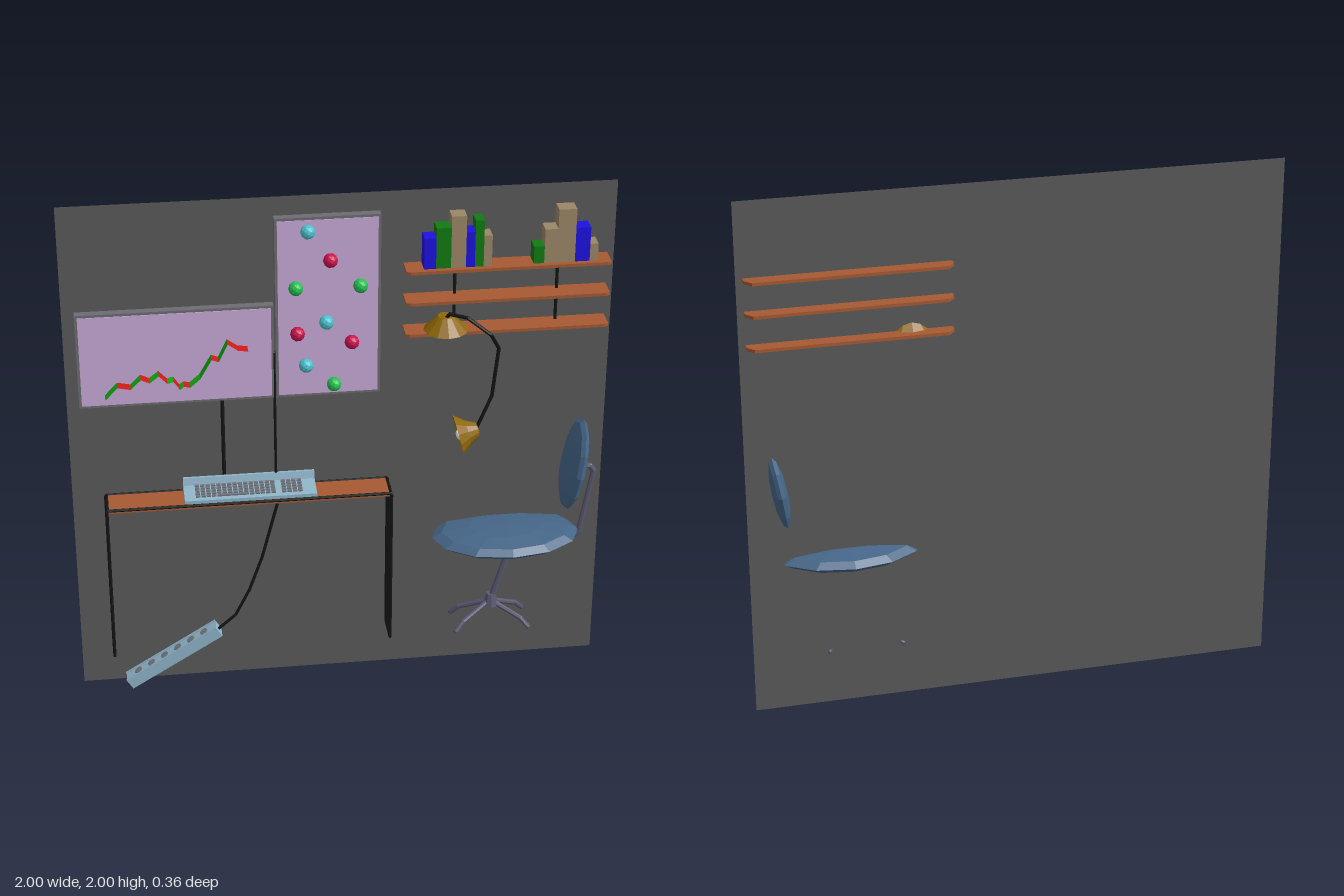
import * as THREE from 'three';
import { mergeGeometries } from 'three/addons/utils/BufferGeometryUtils.js';

const mat = (color, side = THREE.FrontSide) =>
  new THREE.MeshStandardMaterial({ color, side, flatShading: true });
const M = {
  wall: mat(0x5a5a5a, THREE.DoubleSide), frame: mat(0x6c6c72), lilac: mat(0xc8a8d8),
  wood: mat(0xa65a32), black: mat(0x141414), plastic: mat(0x8fb4c8), keys: mat(0x70767e),
  gold: mat(0x8f6808, THREE.DoubleSide), bulb: mat(0xf2f2e6), fabric: mat(0x456587),
  steel: mat(0x5a5870), tan: mat(0x9b8766), blue: mat(0x1c12e0), green: mat(0x117a11),
  pinCyan: mat(0x4cc0cc), pinRed: mat(0xc8104c), pinGreen: mat(0x22c050),
  rise: mat(0x10b010, THREE.DoubleSide), fall: mat(0xd01818, THREE.DoubleSide),
};

export function createModel() {
  const model = new THREE.Group();
  const add = (name, geo, material, parent = model) => {
    const mesh = new THREE.Mesh(geo, material);
    mesh.name = name;
    parent.add(mesh);
    return mesh;
  };
  const group = (name) => {
    const g = new THREE.Group();
    g.name = name;
    model.add(g);
    return g;
  };
  // box given by its limits on each axis
  const boxGeo = (x0, x1, y0, y1, z0, z1) =>
    new THREE.BoxGeometry(x1 - x0, y1 - y0, z1 - z0)
      .translate((x0 + x1) / 2, (y0 + y1) / 2, (z0 + z1) / 2);
  // round bar through straight segments
  const bar = (name, pts, r, material, parent, closed = false) => {
    const v = pts.map((p) => new THREE.Vector3(...p));
    if (closed) v.push(v[0].clone());
    const parts = [];
    for (let i = 0; i < v.length - 1; i++) {
      const path = new THREE.LineCurve3(v[i], v[i + 1]);
      parts.push(new THREE.TubeGeometry(path, 1, r, 8));
    }
    for (const p of v) parts.push(new THREE.SphereGeometry(r, 8, 6).translate(p.x, p.y, p.z));
    return add(name, mergeGeometries(parts), material, parent);
  };

  // back wall
  add('wall', new THREE.PlaneGeometry(2, 2).translate(0, 1, -0.075), M.wall);

  // desk: top, rim and three-bar end frames
  const desk = group('desk');
  add('deskTop', boxGeo(-0.875, 0.175, 0.825, 0.842, -0.055, 0.055), M.wood, desk);
  bar('deskRim', [[-0.875, 0.84, -0.058], [0.175, 0.84, -0.058], [0.175, 0.84, 0.058],
    [-0.875, 0.84, 0.058]], 0.006, M.black, desk, true);
  for (const x of [-0.878, 0.178]) {
    bar('legFrame', [[x, 0.835, -0.058], [x, 0.2, -0.058], [x, 0.2, 0.058], [x, 0.835, 0.058]],
      0.006, M.black, desk);
    bar('middleLeg', [[x, 0.835, 0], [x, 0.2, 0]], 0.006, M.black, desk);
  }

  // keyboard: wedge with a raised back lip
  const keyboard = group('keyboard');
  const side = new THREE.Shape([[-0.055, 0.843], [-0.055, 0.858], [0.035, 0.872], [0.042, 0.9],
    [0.052, 0.9], [0.052, 0.843]].map((p) => new THREE.Vector2(...p)));
  add('keyboardBody', new THREE.ExtrudeGeometry(side, { depth: 0.49, bevelEnabled: false })
    .rotateY(Math.PI / 2).translate(-0.59, 0, 0), M.plastic, keyboard);
  const keys = [];
  for (let row = 0; row < 5; row++) {
    const z = -0.028 + row * 0.015;
    const y = 0.868 - (z + 0.01) * 0.155;
    for (let i = 0; i < 20; i++) {
      const x = -0.54 + i * 0.02;
      const space = row === 4 && i > 3 && i < 10;
      if (i === 15 || (space && i > 4)) continue;
      keys.push(boxGeo(x - 0.008, x + (space ? 0.108 : 0.008), y - 0.006, y + 0.005,
        z - 0.0055, z + 0.0055));
    }
  }
  add('keys', mergeGeometries(keys), M.keys, keyboard);

  // wall boards with lilac faces
  const boards = group('boards');
  for (const [x0, x1, y0, y1] of [[-0.955, -0.243, 1.218, 1.592], [-0.237, 0.145, 1.218, 1.928]]) {
    add('boardFrame', boxGeo(x0, x1, y0, y1, -0.073, -0.043), M.frame, boards);
    add('boardFace', boxGeo(x0 + 0.01, x1 - 0.01, y0 + 0.01, y1 - 0.01, -0.05, -0.04),
      M.lilac, boards);
  }
  bar('boardPost', [[-0.435, 1.23, -0.06], [-0.435, 0.85, -0.06]], 0.007, M.black, boards);
  bar('thinPost', [[-0.243, 1.4, -0.047], [-0.243, 0.85, -0.047]], 0.005, M.black, boards);

  // pins
  const pins = group('pins');
  for (const [x, y, m] of [[-0.12, 1.885, M.pinCyan], [-0.04, 1.77, M.pinRed],
    [-0.165, 1.667, M.pinGreen], [0.068, 1.665, M.pinGreen], [-0.055, 1.527, M.pinCyan],
    [-0.16, 1.486, M.pinRed], [0.037, 1.442, M.pinRed], [-0.13, 1.357, M.pinCyan],
    [-0.028, 1.274, M.pinGreen]])
    add('pin', new THREE.IcosahedronGeometry(0.027, 1).translate(x, y, -0.015), m, pins);

  // chart ribbon, green where it rises and red where it falls
  const chart = group('chart');
  const line = [[-0.86, 1.27], [-0.815, 1.318], [-0.767, 1.308], [-0.73, 1.345], [-0.698, 1.33],
    [-0.665, 1.356], [-0.634, 1.324], [-0.612, 1.33], [-0.59, 1.297], [-0.575, 1.308],
    [-0.553, 1.303], [-0.516, 1.335], [-0.473, 1.41], [-0.447, 1.4], [-0.414, 1.469],
    [-0.377, 1.442], [-0.34, 1.436]];
  for (let i = 0; i < line.length - 1; i++) {
    const [[x0, y0], [x1, y1]] = [line[i], line[i + 1]];
    const strip = new THREE.PlaneGeometry(Math.hypot(x1 - x0, y1 - y0), 0.047)
      .rotateX(-Math.PI / 2).rotateZ(Math.atan2(y1 - y0, x1 - x0))
      .translate((x0 + x1) / 2, (y0 + y1) / 2, -0.02);
    add('chartStrip', strip, y1 > y0 ? M.rise : M.fall, chart);
  }

  // shelves with clipped corners, and their posts
  const shelves = group('shelves');
  const plank = new THREE.Shape([[0.23, -0.005], [0.245, -0.012], [0.96, -0.012], [0.975, -0.005],
    [0.975, 0.1], [0.95, 0.13], [0.255, 0.13], [0.23, 0.1]].map((p) => new THREE.Vector2(...p)));
  for (const y of [1.707, 1.584, 1.459])
    add('shelf', new THREE.ExtrudeGeometry(plank, { depth: 0.012, bevelEnabled: false })
      .rotateX(-Math.PI / 2).translate(0, y, 0), M.wood, shelves);
  for (const x of [0.415, 0.79])
    bar('shelfPost', [[x, 1.71, -0.055], [x, 1.465, -0.055]], 0.006, M.black, shelves);

  // books
  const books = group('books');
  for (const [x0, x1, top, m] of [[0.295, 0.338, 1.838, M.blue], [0.338, 0.392, 1.876, M.green],
    [0.392, 0.446, 1.918, M.tan], [0.446, 0.478, 1.855, M.blue], [0.478, 0.51, 1.898, M.green],
    [0.51, 0.54, 1.838, M.tan], [0.692, 0.73, 1.785, M.green], [0.73, 0.777, 1.85, M.tan],
    [0.777, 0.842, 1.924, M.tan], [0.842, 0.896, 1.85, M.blue], [0.896, 0.926, 1.785, M.tan]])
    add('book', boxGeo(x0, x1, 1.719, top, -0.067, -0.008), m, books);

  // lamp: conical foot, bent arm, open shade with bulb
  const lamp = group('lamp');
  add('lampFoot', new THREE.CylinderGeometry(0.03, 0.082, 0.055, 12).translate(0.38, 1.498, -0.02),
    M.gold, lamp);
  bar('lampArm', [[0.38, 1.52, -0.01], [0.39, 1.54, 0], [0.45, 1.54, 0.04], [0.53, 1.485, 0.075],
    [0.575, 1.39, 0], [0.555, 1.195, 0], [0.5, 1.06, 0]], 0.007, M.black, lamp);
  const head = new THREE.Group();
  head.name = 'lampHead';
  head.position.set(0.47, 1.048, 0);
  head.rotation.z = -Math.PI / 2 + 0.25;
  lamp.add(head);
  const shade = [[0, 0.042], [0.026, 0.038], [0.045, 0], [0.076, -0.038]];
  add('lampShade', new THREE.LatheGeometry(shade.map((p) => new THREE.Vector2(...p)).reverse(), 12),
    M.gold, head);
  add('bulb', new THREE.SphereGeometry(0.025, 10, 8).translate(0, -0.022, 0), M.bulb, head);

  // power strip with sockets, and its cable
  const strip = group('powerStrip');
  strip.position.set(-0.652, 0.145, -0.004);
  strip.rotation.z = 0.55;
  add('stripBody', boxGeo(-0.205, 0.205, -0.024, 0.018, -0.028, 0.028), M.plastic, strip);
  for (const s of [-1, 1])
    add('stripEdge', boxGeo(-0.205, 0.205, 0.018, 0.024, s * 0.025 - 0.003, s * 0.025 + 0.003),
      M.plastic, strip);
  for (let i = 0; i < 6; i++)
    add('socket', new THREE.CylinderGeometry(0.016, 0.016, 0.005, 10)
      .translate(-0.15 + i * 0.06, 0.019, 0), M.keys, strip);
  bar('cable', [[-0.235, 0.825, 0], [-0.305, 0.56, 0], [-0.355, 0.42, 0], [-0.41, 0.31, 0],
    [-0.485, 0.245, 0]], 0.006, M.black);

  // chair: faceted cushions, bent back support, stem and four feet
  const chair = group('chair');
  const seat = add('seat', new THREE.SphereGeometry(1, 12, 6), M.fabric, chair);
  seat.scale.set(0.282, 0.043, 0.18);
  seat.position.set(0.625, 0.598, 0);
  const back = add('backrest', new THREE.SphereGeometry(1, 12, 8).rotateZ(Math.PI / 2),
    M.fabric, chair);
  back.scale.set(0.036, 0.186, 0.13);
  back.position.set(0.877, 0.885, 0);
  back.rotation.z = -0.17;
  bar('backSupport', [[0.89, 0.87, 0], [0.94, 0.872, 0], [0.955, 0.85, 0], [0.91, 0.585, 0],
    [0.89, 0.568, 0], [0.8, 0.572, 0]], 0.011, M.steel, chair);
  bar('stem', [[0.66, 0.58, 0], [0.58, 0.31, 0]], 0.013, M.steel, chair);
  add('hub', new THREE.CylinderGeometry(0.018, 0.03, 0.05, 8).translate(0.578, 0.305, 0),
    M.steel, chair);
  for (const s of [-1, 1])
    for (const d of [-1, 1])
      bar('foot', [[0.575, 0.3, 0], [0.574 + d * 0.112, 0.242, s * 0.055],
        [0.574 + d * 0.14, 0.21, s * 0.07]], 0.01, M.steel, chair);

  return model;
}
